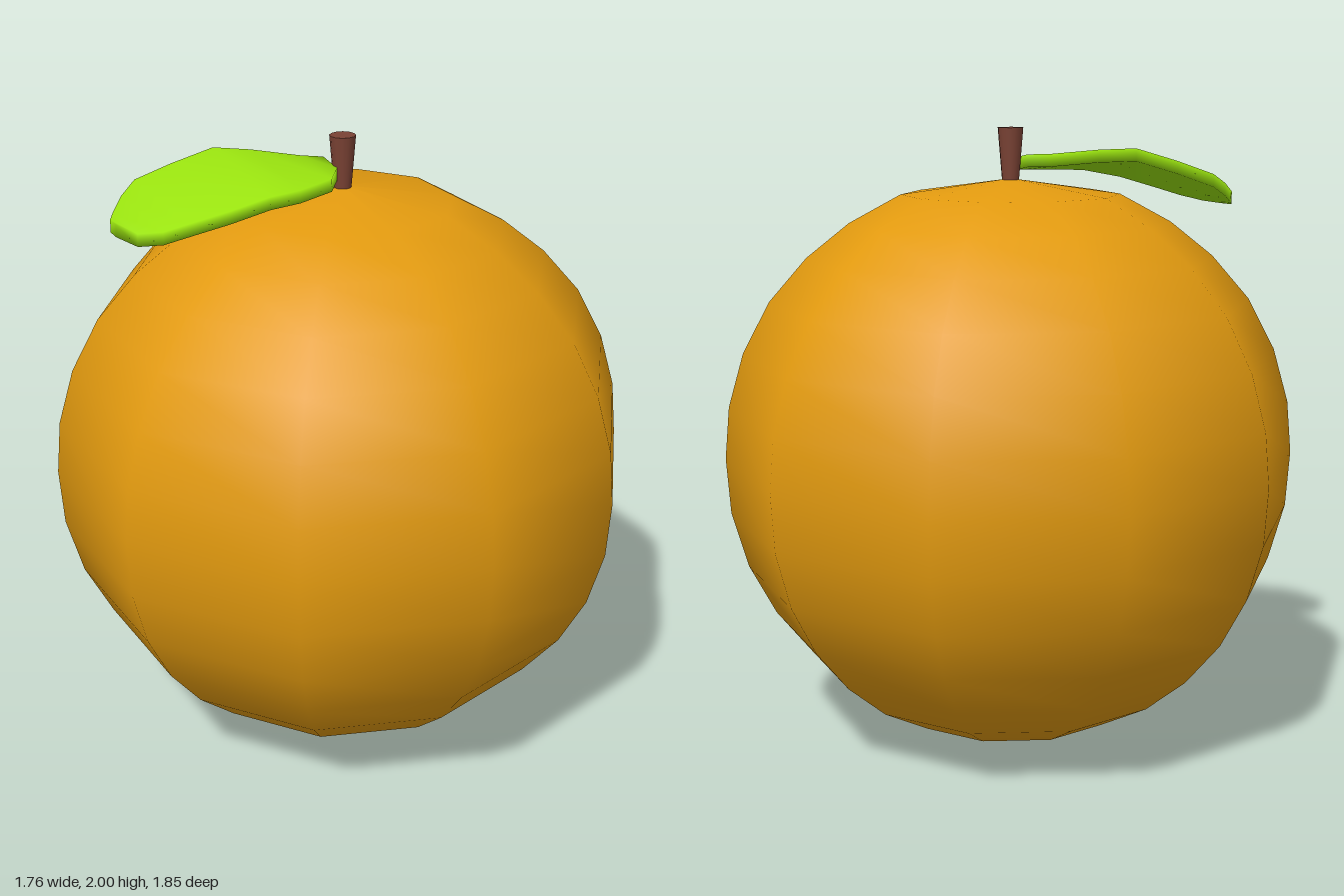
import * as THREE from 'three';

const orange = new THREE.MeshStandardMaterial({ name: 'orange peel', color: 0xe29a0f });
const brown = new THREE.MeshStandardMaterial({ name: 'stem brown', color: 0x7a4234 });
const green = new THREE.MeshStandardMaterial({ name: 'leaf green', color: 0x9ae30f });

function addPart(group, name, geometry, material) {
  const mesh = new THREE.Mesh(geometry, material);
  mesh.name = name;
  group.add(mesh);
  return mesh;
}

// Leaf stations along its length: x, front z, front y, back z, back y
const leafStations = [
  [-0.03, 0.02, 1.885, -0.07, 1.898],
  [-0.09, 0.10, 1.88, -0.11, 1.90],
  [-0.22, 0.145, 1.875, -0.195, 1.915],
  [-0.32, 0.148, 1.87, -0.255, 1.92],
  [-0.45, 0.145, 1.845, -0.282, 1.88],
  [-0.565, 0.095, 1.808, -0.305, 1.838],
  [-0.63, 0.065, 1.786, -0.26, 1.806],
  [-0.685, 0.0, 1.77, -0.195, 1.778],
  [-0.705, -0.12, 1.768, -0.165, 1.77],
];

// Thin slab with four corners per station, sharing vertices for soft edges
function leafGeometry() {
  const half = 0.02, points = [], faces = [];
  for (const [x, fz, fy, bz, by] of leafStations) {
    points.push(x, fy + half, fz, x, by + half, bz, x, by - half, bz, x, fy - half, fz);
  }
  const last = (leafStations.length - 1) * 4;
  for (let i = 0; i < last; i += 4) {
    for (let k = 0; k < 4; k++) {
      const a = i + k, b = i + (k + 1) % 4;
      faces.push(a, b, b + 4, a, b + 4, a + 4);
    }
  }
  faces.push(0, 2, 1, 0, 3, 2);
  faces.push(last, last + 1, last + 2, last, last + 2, last + 3);
  const geometry = new THREE.BufferGeometry();
  geometry.setAttribute('position', new THREE.Float32BufferAttribute(points, 3));
  geometry.setIndex(faces);
  geometry.computeVertexNormals();
  return geometry;
}

export function createModel() {
  const group = new THREE.Group();
  group.name = 'fruit';

  // Ten-sided fruit with a slightly flattened crown, radius and height
  const profile = [
    [0, 0.005], [0.18, 0.025], [0.35, 0.08], [0.515, 0.165], [0.655, 0.28],
    [0.773, 0.42], [0.86, 0.58], [0.912, 0.76], [0.925, 0.94], [0.91, 1.11],
    [0.86, 1.285], [0.773, 1.45], [0.652, 1.59], [0.515, 1.70], [0.35, 1.79], [0, 1.84],
  ].map(([r, y]) => new THREE.Vector2(r, y));
  addPart(group, 'fruitBody', new THREE.LatheGeometry(profile, 10), orange);

  // Stem flares towards its cut end
  const stem = addPart(group, 'stem', new THREE.CylinderGeometry(0.041, 0.026, 0.18, 12), brown);
  stem.position.y = 1.91;

  addPart(group, 'leaf', leafGeometry(), green);
  return group;
}
